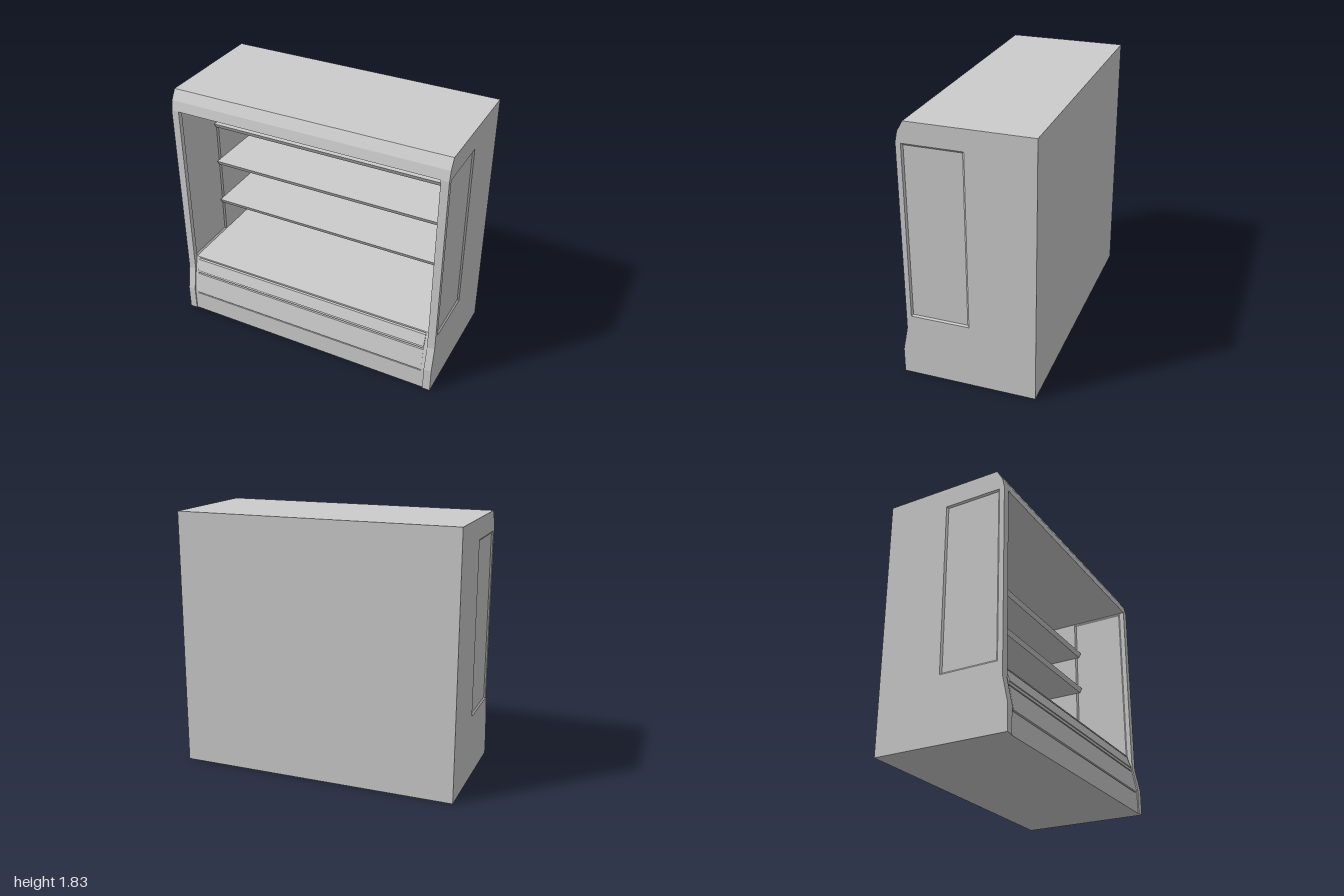
import * as THREE from 'three';

const material = new THREE.MeshStandardMaterial({ color: 0xcccccc, flatShading: true, side: THREE.DoubleSide });
const INNER = 0.945, WALL = 1 - INNER, BACK = -0.42, REAR = -0.465;
const CEILING = 1.69, FLOOR = 0.455;
const WINDOW = { z0: -0.01, z1: 0.4, y0: 0.455, y1: 1.685 };

function addMesh(parent, name, geometry) {
  const mesh = new THREE.Mesh(geometry, material);
  mesh.name = name;
  parent.add(mesh);
  return mesh;
}

// Extrudes a [z, y] profile along x between x0 and x1
function extrudeX(profile, x0, x1, hole) {
  const shape = new THREE.Shape(profile.map(([z, y]) => new THREE.Vector2(z, y)));
  if (hole) shape.holes.push(new THREE.Path(hole.map(([z, y]) => new THREE.Vector2(z, y))));
  const geometry = new THREE.ExtrudeGeometry(shape, { depth: x1 - x0, bevelEnabled: false });
  geometry.rotateY(-Math.PI / 2);
  geometry.translate(x1, 0, 0);
  return geometry;
}

// Corners of the side window, shrunk by an inset
function windowLoop(inset) {
  const { z0, z1, y0, y1 } = WINDOW;
  return [[z0 + inset, y0 + inset], [z1 - inset, y0 + inset], [z1 - inset, y1 - inset], [z0 + inset, y1 - inset]];
}

// Shallow tray with sloping edges: rim at x, floor at x + depth, facing away from depth
function trayGeometry(x, depth) {
  const points = [], index = [];
  windowLoop(0).forEach(([z, y]) => points.push(x, y, z));
  windowLoop(0.012).forEach(([z, y]) => points.push(x + depth, y, z));
  const quad = (a, b, c, d) => (depth < 0 ? index.push(a, c, b, a, d, c) : index.push(a, b, c, a, c, d));
  for (let i = 0; i < 4; i++) {
    const j = (i + 1) % 4;
    quad(i, j, j + 4, i + 4);
  }
  quad(4, 5, 6, 7);
  const geometry = new THREE.BufferGeometry();
  geometry.setAttribute('position', new THREE.Float32BufferAttribute(points, 3));
  geometry.setIndex(index);
  const flat = geometry.toNonIndexed();
  flat.computeVertexNormals();
  return flat;
}

export function createModel() {
  const model = new THREE.Group();
  model.name = 'displayCase';

  // End panels, each with a recessed pane inside and out
  const sideProfile = [
    [REAR, 0], [0.47, 0], [0.47, 0.18], [0.435, 0.355], [0.435, CEILING],
    [0.42, 1.76], [0.38, 1.83], [REAR, 1.83],
  ];
  for (const [name, s] of [['left', 1], ['right', -1]]) {
    const side = new THREE.Group();
    side.name = name + 'EndPanel';
    const x0 = s > 0 ? INNER : -1;
    addMesh(side, name + 'Frame', extrudeX(sideProfile, x0, x0 + WALL, windowLoop(0)));
    addMesh(side, name + 'OuterPane', trayGeometry(s, -s * 0.01));
    addMesh(side, name + 'InnerPane', trayGeometry(s * INNER, s * 0.01));
    model.add(side);
  }

  // Back wall
  addMesh(model, 'backWall', new THREE.BoxGeometry(INNER * 2, 1.83, BACK - REAR))
    .position.set(0, 0.915, (BACK + REAR) / 2);

  // Canopy with a faceted front edge
  const canopy = [[BACK, CEILING], [0.435, CEILING], [0.42, 1.76], [0.38, 1.83], [BACK, 1.83]];
  addMesh(model, 'canopy', extrudeX(canopy, -INNER, INNER));

  // Base: plain ends, and a middle with narrow grooves between the front panels
  const plain = [[BACK, 0], [0.462, 0], [0.462, 0.17], [0.43, 0.34], [0.4, FLOOR], [BACK, FLOOR]];
  const grooved = [
    [BACK, 0], [0.462, 0],
    [0.462, 0.15], [0.445, 0.15], [0.445, 0.16], [0.464, 0.16], [0.462, 0.175],
    [0.435, 0.32], [0.415, 0.32], [0.415, 0.33], [0.432, 0.33],
    [0.43, 0.35], [0.438, 0.35], [0.41, 0.435], [0.39, 0.435], [0.39, 0.445],
    [0.402, 0.445], [0.4, FLOOR], [BACK, FLOOR],
  ];
  const base = new THREE.Group();
  base.name = 'base';
  addMesh(base, 'frontPanels', extrudeX(grooved, -0.92, 0.92));
  addMesh(base, 'leftBaseEnd', extrudeX(plain, 0.92, INNER));
  addMesh(base, 'rightBaseEnd', extrudeX(plain, -INNER, -0.92));
  model.add(base);

  // Shelves with an undercut front edge
  [0.755, 1.095, 1.41].forEach((y, i) => {
    const shelf = [[BACK, y - 0.034], [0.022, y - 0.034], [0.04, y], [BACK, y]];
    addMesh(model, 'shelf' + (i + 1), extrudeX(shelf, -INNER, INNER));
  });

  return model;
}
